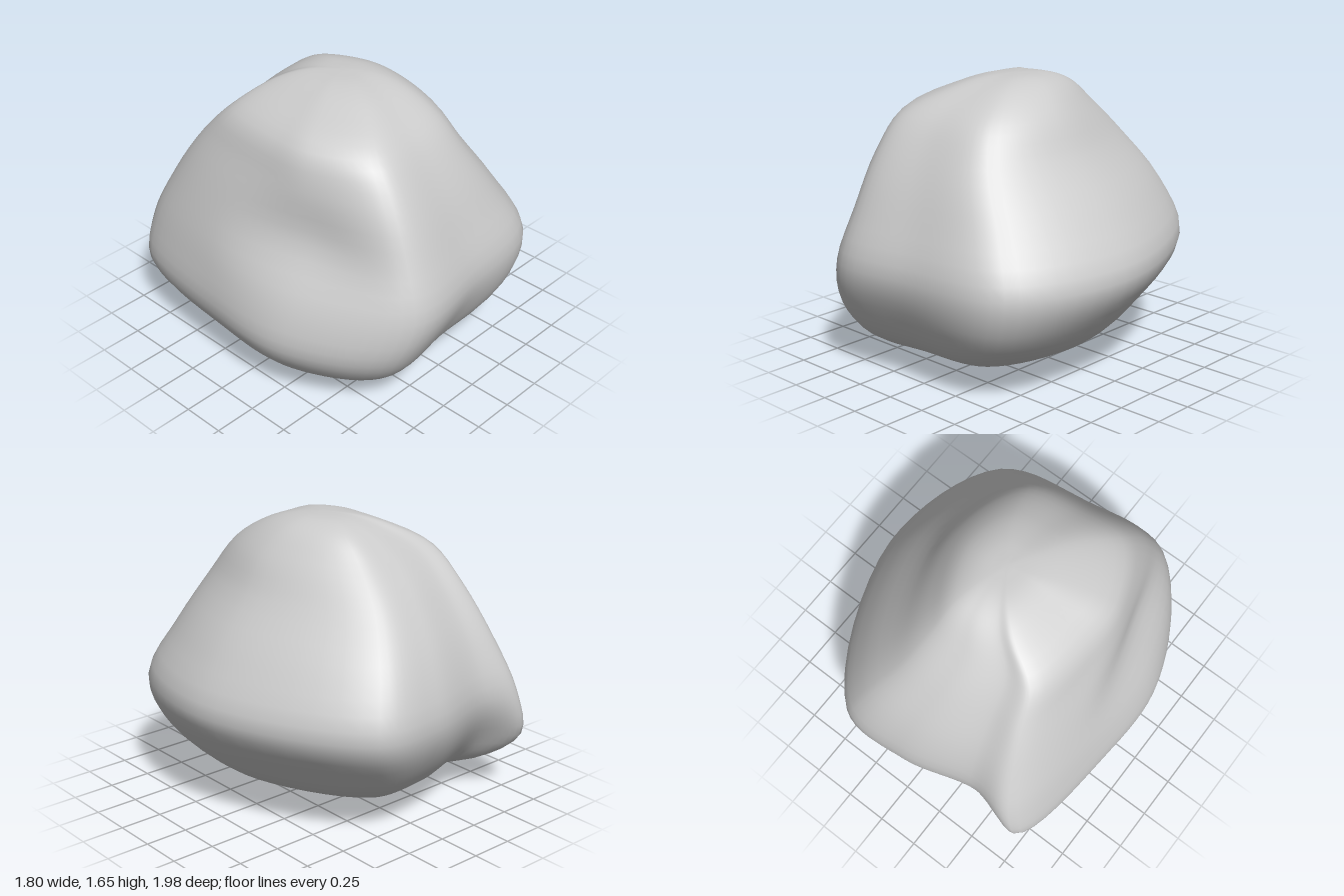
import * as THREE from 'three';

// Extents of the rock from bottom to top: height, -x, +x, back, front
const LEVELS = [
  [0.012, -0.34, 0.02, 0.0, 0.31],
  [0.05, -0.54, 0.22, -0.2, 0.47],
  [0.18, -0.78, 0.55, -0.68, 0.77],
  [0.38, -0.9, 0.75, -0.88, 0.92],
  [0.65, -0.86, 0.9, -1, 1],
  [0.95, -0.76, 0.75, -0.91, 0.9],
  [1.25, -0.65, 0.52, -0.7, 0.75],
  [1.45, -0.56, 0.4, -0.5, 0.59],
  [1.58, -0.32, 0.27, -0.34, 0.36],
  [1.635, -0.16, 0.15, -0.19, 0.17],
];
const BOTTOM = new THREE.Vector3(-0.16, 0, 0.17);
const TOP = new THREE.Vector3(0, 1.65, 0);

// Corners of the outline within those extents; the offset (dx, dz) swells or
// hollows a corner most at height y
const CORNERS = [
  { u: 0.05, v: 0.93 },
  { u: 0.7, v: 0.78, y: 0.4, dx: 0.08, dz: 0.04 }, // front corner, swollen low down
  { u: 0.99, v: 0 },
  { u: 0.47, v: -0.95 },
  { u: 0, v: -0.98 },
  { u: -0.5, v: -0.87 },
  { u: -0.81, v: -0.84, y: 0.38, dz: -0.15 }, // back corner, drawn to a nose
  { u: -0.98, v: -0.25, y: 1.4, dz: 0.12 }, // ridge climbing from the nose
  { u: -0.96, v: 0.38, y: 0.95, dx: 0.11, dz: 0.03 }, // hollow in the -x side
  { u: -0.55, v: 0.95 },
];

// Vertical curve through one corner of every level
function rib({ u, v, y: peak = 0, dx = 0, dz = 0 }) {
  const points = LEVELS.map(([y, left, right, back, front]) => {
    const bump = Math.exp(-(((y - peak) / 0.25) ** 2));
    return new THREE.Vector3(
      (left + right + u * (right - left)) / 2 + dx * bump,
      y,
      (back + front + v * (front - back)) / 2 + dz * bump,
    );
  });
  return new THREE.CatmullRomCurve3([BOTTOM, ...points, TOP]);
}

// Smooth skin of closed rings through the ribs, with one vertex at each pole
function boulderGeometry(rows, cols) {
  const ribs = CORNERS.map(rib);
  const points = [BOTTOM];
  const indices = [];
  for (let i = 1; i < rows; i++) {
    const ring = new THREE.CatmullRomCurve3(ribs.map((r) => r.getPoint(i / rows)), true);
    for (let j = 0; j < cols; j++) points.push(ring.getPoint(j / cols));
  }
  points.push(TOP);

  const last = points.length - 1;
  for (let j = 0; j < cols; j++) {
    const next = (j + 1) % cols;
    indices.push(0, 1 + next, 1 + j);
    indices.push(last, last - cols + j, last - cols + next);
    for (let i = 0; i < rows - 2; i++) {
      const a = 1 + i * cols + j;
      const b = 1 + i * cols + next;
      indices.push(a, b, a + cols, b, b + cols, a + cols);
    }
  }
  const geometry = new THREE.BufferGeometry().setFromPoints(points);
  geometry.setIndex(indices);
  geometry.computeVertexNormals();
  return geometry;
}

export function createModel() {
  const group = new THREE.Group();
  group.name = 'rock';
  const boulder = new THREE.Mesh(
    boulderGeometry(44, 80),
    new THREE.MeshStandardMaterial({ color: 0xcccccc }),
  );
  boulder.name = 'boulder';
  group.add(boulder);
  return group;
}
